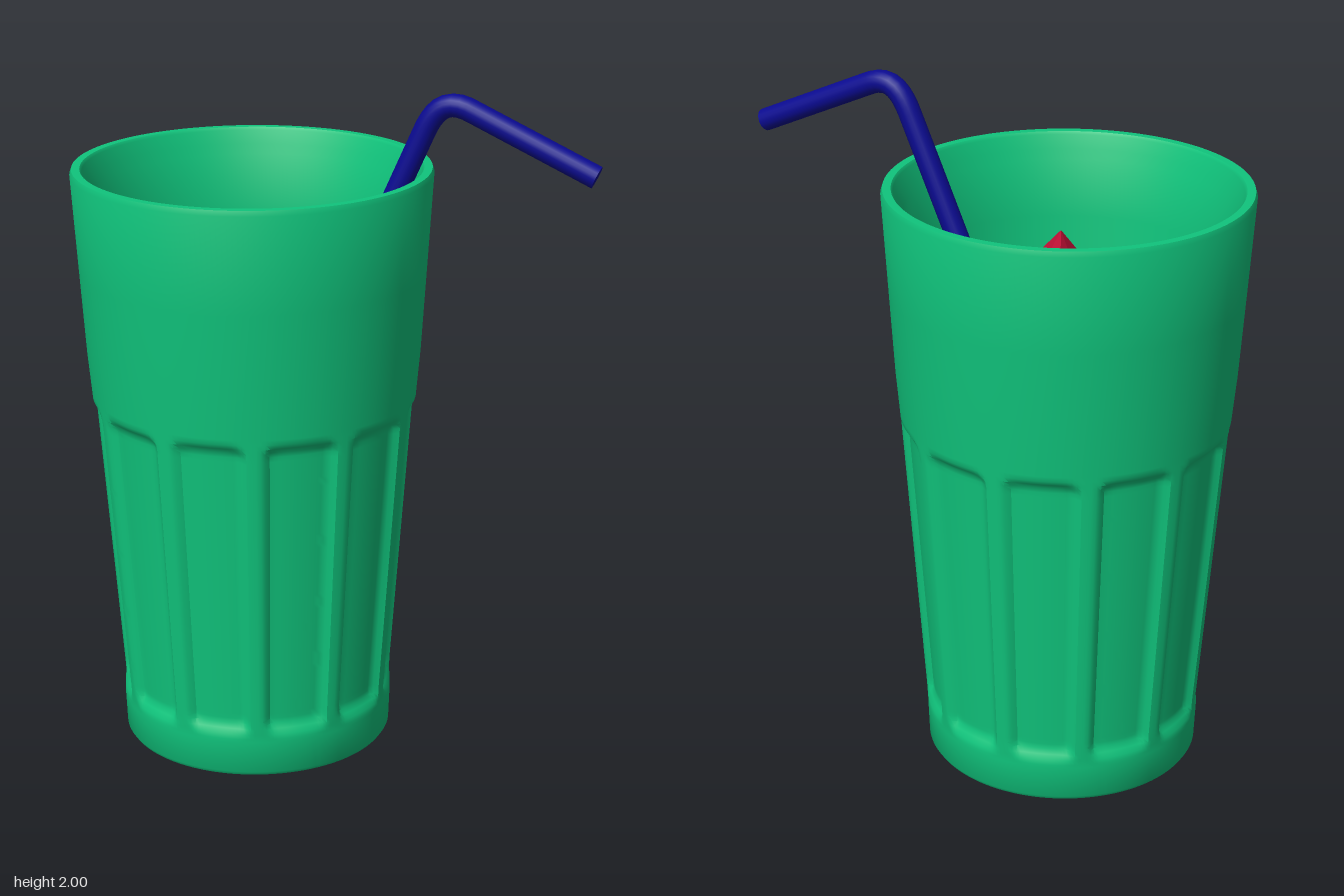
import * as THREE from 'three';
import { mergeVertices, toCreasedNormals } from 'three/addons/utils/BufferGeometryUtils.js';
import { ConvexGeometry } from 'three/addons/geometries/ConvexGeometry.js';

const CX = -0.25;            // axis of the glass
const PANELS = 11;           // recessed panels around the lower wall
const PHASE = 0.05;
const LEVEL = 1.33;          // liquid surface

const material = (color) => new THREE.MeshStandardMaterial({ color });
const { smoothstep, lerp } = THREE.MathUtils;

function addMesh(group, name, geometry, mat) {
  const mesh = new THREE.Mesh(geometry, mat);
  mesh.name = name;
  group.add(mesh);
  return mesh;
}

// Depth mask of one panel: 1 in the recess, 0 on the ribs
function panelMask(angle, y) {
  const pitch = (Math.PI * 2) / PANELS;
  const a = angle - PHASE;
  const t = Math.abs(a / pitch - Math.round(a / pitch)) * 2;
  const side = 1 - smoothstep(t, 0.64, 0.86);
  const corner = 0.03 * Math.pow(t, 4);  // rounded upper and lower corners
  const ends = smoothstep(y, 0.125 + corner, 0.17 + corner)
    * (1 - smoothstep(y, 1.03 - corner, 1.065 - corner));
  return side * ends;
}

// Tumbler: a lathed wall whose outer face is pressed in panel by panel
function glassGeometry() {
  const profile = [[0, 0], [0.395, 0], [0.403, 0.012], [0.407, 0.11]];
  const rows = 64;
  for (let i = 0; i <= rows; i++) {
    const y = lerp(0.12, 1.08, i / rows);
    profile.push([lerp(0.407, 0.479, i / rows), y]);
  }
  profile.push([0.49, 1.2], [0.506, 1.45], [0.524, 1.735], [0.519, 1.75],
    [0.495, 1.75], [0.489, 1.742], [0.485, 1.7], [0.468, 1.67],
    [0.455, 1.5], [0.441, LEVEL], [0.42, 1.05], [0.35, 0.12], [0, 0.1]);
  const outerRows = rows + 5;
  const geo = new THREE.LatheGeometry(
    profile.map(([r, y]) => new THREE.Vector2(r, y)), PANELS * 20);
  const pos = geo.attributes.position;
  for (let i = 0; i < pos.count; i++) {
    const row = i % profile.length;
    if (row < 4 || row >= outerRows) continue;
    const x = pos.getX(i), y = pos.getY(i), z = pos.getZ(i);
    const s = 1 - 0.022 * panelMask(Math.atan2(x, z), y) / Math.hypot(x, z);
    pos.setXYZ(i, x * s, y, z * s);
  }
  geo.deleteAttribute('uv');
  geo.deleteAttribute('normal');
  return toCreasedNormals(mergeVertices(geo, 1e-5), 0.6);
}

// Ice chunks: waterline outline [x, z] and raised points [x, y, z]
const ICE = [
  {
    outline: [[-0.52, -0.25], [-0.35, -0.37], [-0.31, -0.365],
      [-0.275, -0.06], [-0.325, -0.07], [-0.535, -0.155]],
    peaks: [[-0.345, 1.41, -0.365], [-0.325, 1.44, -0.075]],
  },
  {
    outline: [[-0.275, -0.15], [0.06, -0.09], [-0.12, 0.09], [-0.19, 0.12]],
    peaks: [[-0.27, 1.36, -0.148], [0.055, 1.4, -0.088]],
  },
  {
    outline: [[-0.505, -0.035], [-0.385, 0.065], [-0.26, 0.205],
      [-0.29, 0.26], [-0.405, 0.26], [-0.57, 0.155], [-0.55, 0.04]],
    peaks: [[-0.548, 1.42, 0.042], [-0.292, 1.42, 0.256]],
  },
  {
    outline: [[-0.19, 0.07], [-0.05, 0.12], [0.07, 0.25],
      [-0.185, 0.365], [-0.21, 0.2]],
    peaks: [[-0.145, 1.55, 0.16]],
  },
];

function iceGeometry({ outline, peaks }) {
  const points = outline.map(([x, z]) => new THREE.Vector3(x, LEVEL, z));
  const centre = points.reduce((sum, p) => sum.add(p), new THREE.Vector3())
    .divideScalar(points.length);
  centre.y = LEVEL - 0.12;   // submerged tip
  points.push(centre, ...peaks.map((p) => new THREE.Vector3(...p)));
  return new ConvexGeometry(points);
}

// Straw: a straight leg, a short rounded elbow and a drooping mouthpiece
function strawPath() {
  const v = (x, y) => new THREE.Vector3(x, y, 0);
  const path = new THREE.CurvePath();
  path.add(new THREE.LineCurve3(v(-0.5, 0.16), v(0.262, 1.885)));
  path.add(new THREE.CubicBezierCurve3(
    v(0.262, 1.885), v(0.292, 1.953), v(0.33, 1.982), v(0.395, 1.952)));
  path.add(new THREE.LineCurve3(v(0.395, 1.952), v(0.757, 1.788)));
  return path;
}

export function createModel() {
  const model = new THREE.Group();
  model.name = 'icedDrink';

  const glass = addMesh(model, 'glass', glassGeometry(), material(0x10c47c));
  glass.position.x = CX;

  // Liquid fills the inside of the glass
  const liquidProfile = [[0, 0.13], [0.345, 0.13], [0.415, 1.05], [0.441, LEVEL], [0, LEVEL]]
    .map(([r, y]) => new THREE.Vector2(r, y));
  const liquid = addMesh(model, 'liquid',
    toCreasedNormals(new THREE.LatheGeometry(liquidProfile, 64), 0.6), material(0xc8be1a));
  liquid.position.x = CX;

  const ice = new THREE.Group();
  ice.name = 'ice';
  const iceMaterial = material(0xc81038);
  ICE.forEach((chunk, i) => addMesh(ice, `iceChunk${i + 1}`, iceGeometry(chunk), iceMaterial));
  model.add(ice);

  const straw = new THREE.Group();
  straw.name = 'straw';
  const strawMaterial = material(0x0a0a90);
  const path = strawPath();
  addMesh(straw, 'strawTube', new THREE.TubeGeometry(path, 120, 0.033, 20), strawMaterial);
  // Flat caps on both ends
  for (const [t, sign] of [[0, -1], [1, 1]]) {
    const cap = addMesh(straw, 'strawEnd', new THREE.CircleGeometry(0.033, 20), strawMaterial);
    cap.position.copy(path.getPoint(t));
    cap.quaternion.setFromUnitVectors(
      new THREE.Vector3(0, 0, 1), path.getTangent(t).multiplyScalar(sign));
  }
  model.add(straw);

  return model;
}
